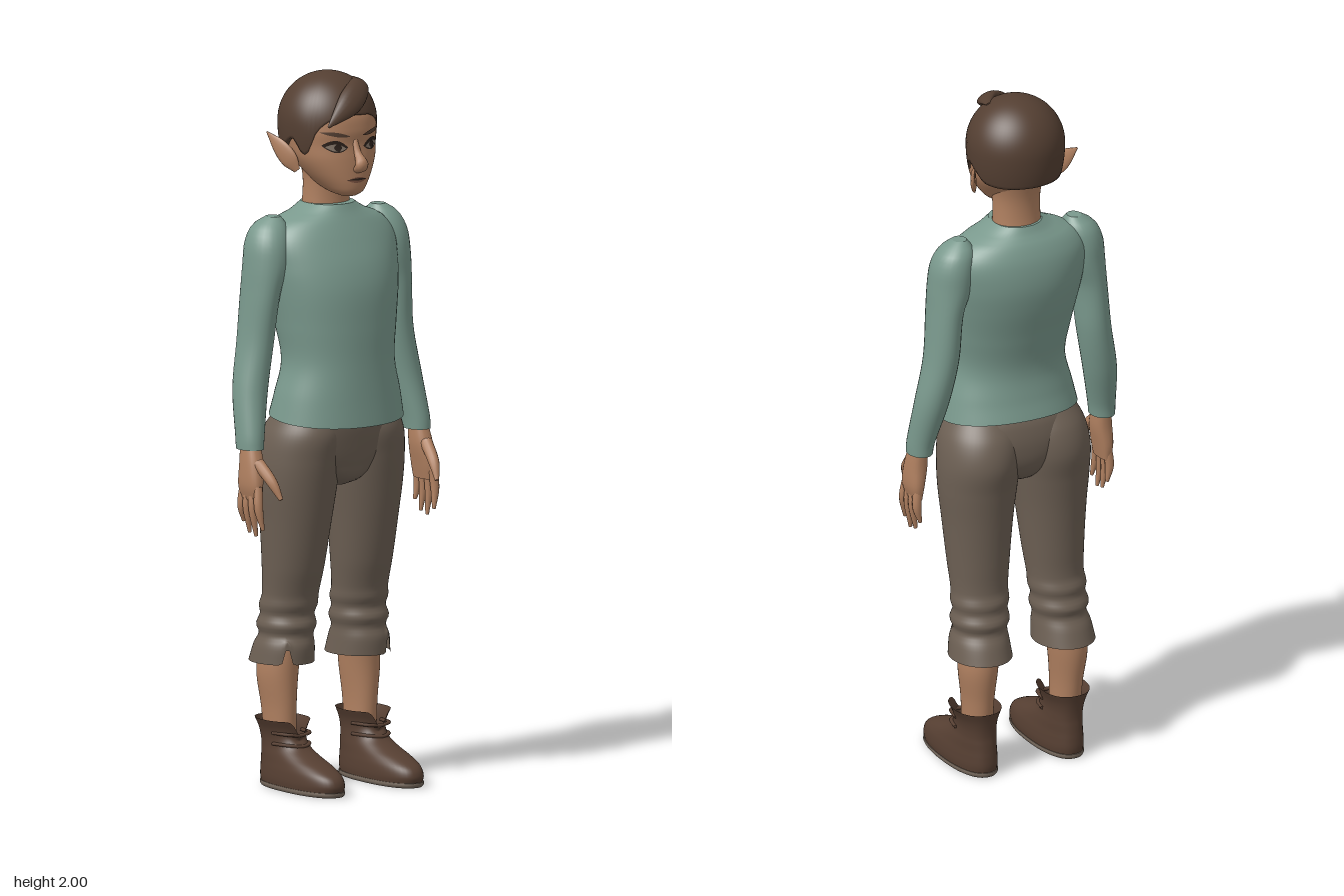
import * as THREE from 'three';

const mat = (name, color, side = THREE.DoubleSide) => {
  const m = new THREE.MeshStandardMaterial({ color, side });
  m.name = name;
  return m;
};

// Surface from fn(row, column); columns run counter-clockwise about the direction of the rows.
function grid(rows, cols, fn, { wrap = true, capStart = false, capEnd = false } = {}) {
  const pos = [], idx = [], n = wrap ? cols : cols + 1;
  for (let i = 0; i <= rows; i++)
    for (let j = 0; j < n; j++) pos.push(...fn(i / rows, j / cols, i).toArray());
  for (let i = 0; i < rows; i++)
    for (let j = 0; j < cols; j++) {
      const k = (j + 1) % n, a = i * n + j, b = i * n + k;
      idx.push(a, b, b + n, a, b + n, a + n);
    }
  const cap = (row, flip) => {
    const base = pos.length / 3, c = new THREE.Vector3();
    for (let j = 0; j < n; j++) {
      const p = new THREE.Vector3().fromArray(pos, (row * n + j) * 3);
      c.addScaledVector(p, 1 / n);
      pos.push(p.x, p.y, p.z);
    }
    pos.push(c.x, c.y, c.z);
    for (let j = 0; j < n; j++) {
      const a = base + j, b = base + (j + 1) % n;
      idx.push(base + n, flip ? b : a, flip ? a : b);
    }
  };
  if (capStart) cap(0, true);
  if (capEnd) cap(rows, false);
  const g = new THREE.BufferGeometry();
  g.setAttribute('position', new THREE.Float32BufferAttribute(pos, 3));
  g.setIndex(idx);
  g.computeVertexNormals();
  return g;
}

// Smooth interpolation of sections [y, centreX, halfWidth, frontZ, backZ] at a height.
function section(keys, y) {
  let i = 0;
  while (i < keys.length - 2 && y > keys[i + 1][0]) i++;
  const a = keys[i], b = keys[i + 1], h = b[0] - a[0], t = (y - a[0]) / h;
  const p = keys[i - 1] || a, q = keys[i + 2] || b;
  return a.map((v, k) => {
    const m0 = (b[k] - p[k]) / (b[0] - p[0]) * h, m1 = (q[k] - v) / (q[0] - a[0]) * h;
    return v + t * m0 + t * t * (3 * (b[k] - v) - 2 * m0 - m1) + t * t * t * (2 * (v - b[k]) + m0 + m1);
  });
}

// Upright body part made of rounded horizontal sections.
function loft(keys, { rows = 32, cols = 40, n = 2, warp, capStart = true, capEnd = true } = {}) {
  const y0 = keys[0][0], y1 = keys[keys.length - 1][0];
  const pw = v => Math.sign(v) * Math.abs(v) ** (2 / n);
  return grid(rows, cols, (v, u) => {
    const y = y0 + (y1 - y0) * v, [, cx, hx, zf, zb] = section(keys, y), a = u * Math.PI * 2;
    const p = new THREE.Vector3(cx + hx * pw(Math.sin(a)), y, (zf + zb) / 2 + (zf - zb) / 2 * pw(Math.cos(a)));
    if (warp) warp(p);
    return p;
  }, { capStart, capEnd });
}

// Tapered, optionally flattened tube along a path.
function sweep(points, radii, flat = 1, normal = [1, 0, 0], rows = 14, cols = 12) {
  const curve = new THREE.CatmullRomCurve3(points.map(p => new THREE.Vector3(...p)));
  const rk = radii.map((r, i) => [i / (radii.length - 1), r]);
  return grid(rows, cols, (v, u) => {
    const T = curve.getTangent(v), N = new THREE.Vector3(...normal);
    N.addScaledVector(T, -N.dot(T)).normalize();
    const B = T.clone().cross(N), r = section(rk, v)[1], a = u * Math.PI * 2;
    return curve.getPoint(v).addScaledVector(N, r * flat * Math.cos(a)).addScaledVector(B, r * Math.sin(a));
  }, { capStart: true, capEnd: true });
}

function mirrored(geo) {
  const g = geo.clone().scale(-1, 1, 1), ix = g.index.array;
  for (let i = 0; i < ix.length; i += 3) [ix[i], ix[i + 1]] = [ix[i + 1], ix[i]];
  g.computeVertexNormals();
  return g;
}

export function createModel() {
  const root = new THREE.Group();
  root.name = 'youngVillager';
  const skin = mat('skin', 0xb08060), shirt = mat('shirt green', 0x7a998d), cloth = mat('trouser brown', 0x6d6054);
  const hair = mat('hair brown', 0x543f32), leather = mat('boot leather', 0x563f32), soleGrey = mat('sole', 0x74675b);
  const dark = mat('eye dark', 0x2c211b), eyeGrey = mat('eye', 0x85776a), lip = mat('lip', 0x7f5643);
  const add = (name, geo, m) => {
    const mesh = new THREE.Mesh(geo, m);
    mesh.name = name;
    root.add(mesh);
  };
  const pair = (name, geo, m) => {
    add(name + 'Left', geo, m);
    add(name + 'Right', mirrored(geo), m);
  };

  // Shirt body, with the hem a little higher at the back
  add('shirtBody', loft([
    [1.03, 0, .2, .14, -.155], [1.1, 0, .187, .135, -.14], [1.2, 0, .166, .13, -.13], [1.3, 0, .178, .128, -.15],
    [1.4, 0, .195, .122, -.175], [1.47, 0, .205, .105, -.184], [1.54, 0, .205, .075, -.176],
    [1.59, 0, .165, .05, -.155], [1.612, 0, .11, .038, -.137], [1.635, 0, .072, .028, -.125],
  ], { rows: 48, cols: 56, n: 2.15, warp: p => { p.y += (.01 - p.z * .12) * Math.max(0, 1 - (p.y - 1.03) / .15); } }), shirt);

  // Sleeves
  pair('sleeve', loft([
    [.97, .286, .035, .024, -.066], [1.0, .284, .037, .022, -.07], [1.13, .263, .047, .002, -.105],
    [1.26, .239, .047, 0, -.122], [1.4, .225, .048, .014, -.125], [1.48, .207, .061, .02, -.127],
    [1.54, .2, .06, .012, -.125], [1.585, .19, .046, -.01, -.11], [1.608, .18, .02, -.035, -.08],
  ], { rows: 40, cols: 28 }), shirt);

  // Hands
  pair('palm', loft([
    [.83, .295, .014, .036, -.044], [.87, .296, .023, .042, -.05], [.93, .29, .027, .032, -.048], [.99, .287, .022, .012, -.05],
  ], { rows: 14, cols: 24, n: 2.4 }), skin);
  [[.034, .05, .75], [.011, .018, .73], [-.012, -.012, .737], [-.034, -.04, .765]].forEach(([z0, z1, y], i) =>
    pair('finger' + (i + 1), sweep([[.297, .87, z0], [.302, .81, (z0 + z1) / 2], [.293, y, z1]], [.012, .0125, .005], 1), skin));
  pair('thumb', sweep([[.288, .935, .02], [.277, .885, .072], [.267, .84, .1]], [.018, .015, .006]), skin);

  // Trousers: hips and cropped legs with gathered folds and a slit hem
  add('trouserHips', loft([
    [.845, 0, .02, .02, -.06], [.865, 0, .06, .068, -.11], [.91, 0, .13, .086, -.142], [.97, 0, .19, .098, -.15],
    [1.03, 0, .19, .105, -.14], [1.07, 0, .17, .1, -.12],
  ], { n: 2.2 }), cloth);
  pair('trouserLeg', loft([
    [.35, .13, .087, .013, -.186], [.4, .128, .081, .014, -.167], [.43, .124, .075, .004, -.15],
    [.455, .124, .083, .014, -.158], [.485, .122, .077, .002, -.143], [.51, .121, .083, .012, -.146],
    [.54, .119, .081, .014, -.135], [.62, .117, .088, .035, -.135], [.75, .115, .1, .06, -.142],
    [.85, .113, .111, .077, -.153], [.93, .109, .115, .09, -.165], [1.0, .1, .111, .098, -.15], [1.06, .09, .09, .08, -.11],
  ], { rows: 72, cols: 56, capStart: false, warp: p => {
    const low = Math.max(0, 1 - (p.y - .35) / .07);
    if (p.z > -.08) p.y += low * .055 * Math.exp(-(((p.x - .172) / .008) ** 2));
  } }), cloth);

  // Shins
  pair('shin', loft([[.12, .137, .04, -.03, -.135], [.22, .139, .043, -.028, -.146], [.32, .14, .054, -.026, -.158], [.42, .13, .055, -.02, -.15]]), skin);

  // Boots: foot and shaft in one, with a flared collar notched at the front
  pair('boot', loft([
    [.01, .135, .063, .184, -.148], [.03, .135, .065, .19, -.151], [.055, .135, .063, .176, -.15], [.075, .135, .059, .135, -.148],
    [.095, .135, .055, .075, -.146], [.115, .135, .051, .03, -.144], [.14, .136, .05, .008, -.145],
    [.165, .137, .055, .006, -.149], [.192, .138, .067, .014, -.156],
  ], { rows: 40, cols: 48, n: 2.3, capEnd: false, warp: p => {
    if (p.z > -.05 && p.y > .13) p.y -= (p.y - .13) * .75 * Math.exp(-(((p.x - .136) / .02) ** 2));
  } }), leather);
  pair('sole', loft([[0, .135, .062, .184, -.148], [.006, .135, .066, .19, -.152], [.014, .135, .065, .19, -.152]], { rows: 4, cols: 48, n: 2.3 }), soleGrey);
  for (const [i, y] of [.125, .155].entries())
    pair('bootStrap' + (i + 1), sweep([[.086, y, -.05], [.1, y, .002], [.136, y - .004, .02 - i * .012], [.172, y, .002], [.186, y, -.05]],
      [.007, .007, .007, .007, .007], .7, [0, 1, 0], 20, 8), leather);

  // Neck and head
  add('neck', loft([[1.58, 0, .074, .005, -.125], [1.66, 0, .068, .004, -.115], [1.72, 0, .07, .01, -.118], [1.8, 0, .09, .02, -.14]]), skin);
  const head = [
    [1.664, 0, .022, .07, .025], [1.674, 0, .044, .086, -.015], [1.695, 0, .066, .092, -.06], [1.73, 0, .093, .092, -.1],
    [1.77, 0, .115, .089, -.135], [1.81, 0, .123, .084, -.15], [1.85, 0, .126, .086, -.16], [1.9, 0, .119, .074, -.155], [1.95, 0, .085, .03, -.12],
  ];
  add('head', loft(head, { rows: 48, cols: 56, n: 2.2 }), skin);
  add('nose', sweep([[0, 1.822, .08], [0, 1.786, .095], [0, 1.757, .113], [0, 1.74, .09]], [.008, .011, .019, .012], .9, [0, 0, 1]), skin);
  pair('ear', sweep([[.117, 1.733, -.03], [.13, 1.762, -.048], [.145, 1.797, -.075], [.161, 1.835, -.113]], [.01, .026, .023, .002], .32, [1, 0, .5]), skin);

  // Painted face details that follow the curve of the face
  const onFace = (cx, cy, w, h, off, tilt = 0) => grid(6, 14, (v, u) => {
    const s = u * 2 - 1, x = cx + s * w, y = cy + tilt * s + (v * 2 - 1) * h * (1 - s * s);
    const [, , hx, zf, zb] = section(head, y);
    return new THREE.Vector3(x, y, (zf + zb) / 2 + (zf - zb) / 2 * (1 - Math.abs(x / hx) ** 2.2) ** (1 / 2.2) + off);
  }, { wrap: false });
  pair('eyeOutline', onFace(.06, 1.808, .034, .017, .002, .004), dark);
  pair('eyeWhite', onFace(.06, 1.805, .027, .01, .004, .003), eyeGrey);
  pair('iris', onFace(.057, 1.806, .011, .011, .006), dark);
  pair('eyebrow', onFace(.06, 1.842, .04, .006, .003, .007), hair);
  add('lips', onFace(0, 1.712, .032, .008, .002), lip);
  add('mouthLine', onFace(0, 1.714, .034, .003, .004), dark);

  // Hair cap, with a hairline that dips into sideburns and rises over the ears
  const line = [[0, 1.893], [28, 1.885], [48, 1.85], [60, 1.79], [68, 1.785], [80, 1.825], [95, 1.81], [112, 1.778], [180, 1.774]];
  const cy = 1.862, R = .138;
  add('hairCap', grid(30, 72, (v, u, i) => {
    const a = u * Math.PI * 2, deg = 180 - Math.abs(180 - u * 360);
    const e0 = Math.asin((section(line, deg)[1] - cy) / R);
    const e = e0 + (Math.PI / 2 - e0) * Math.max(0, (i - 1) / 29), s = Math.sin(e);
    const r = R * (s > 0 ? Math.cos(e) : Math.sqrt(1 - .35 * s * s)) * (i === 0 ? .82 : 1);
    return new THREE.Vector3(Math.sin(a) * r, cy + R * s, -.05 + Math.cos(a) * r);
  }), hair);
  // Swept fringe
  add('fringe', sweep([[.068, 1.978, -.018], [.04, 1.966, .045], [-.02, 1.925, .079], [-.095, 1.868, .086]], [.006, .03, .034, .003], .5, [-.1, .5, .85], 24, 16), hair);

  return root;
}
